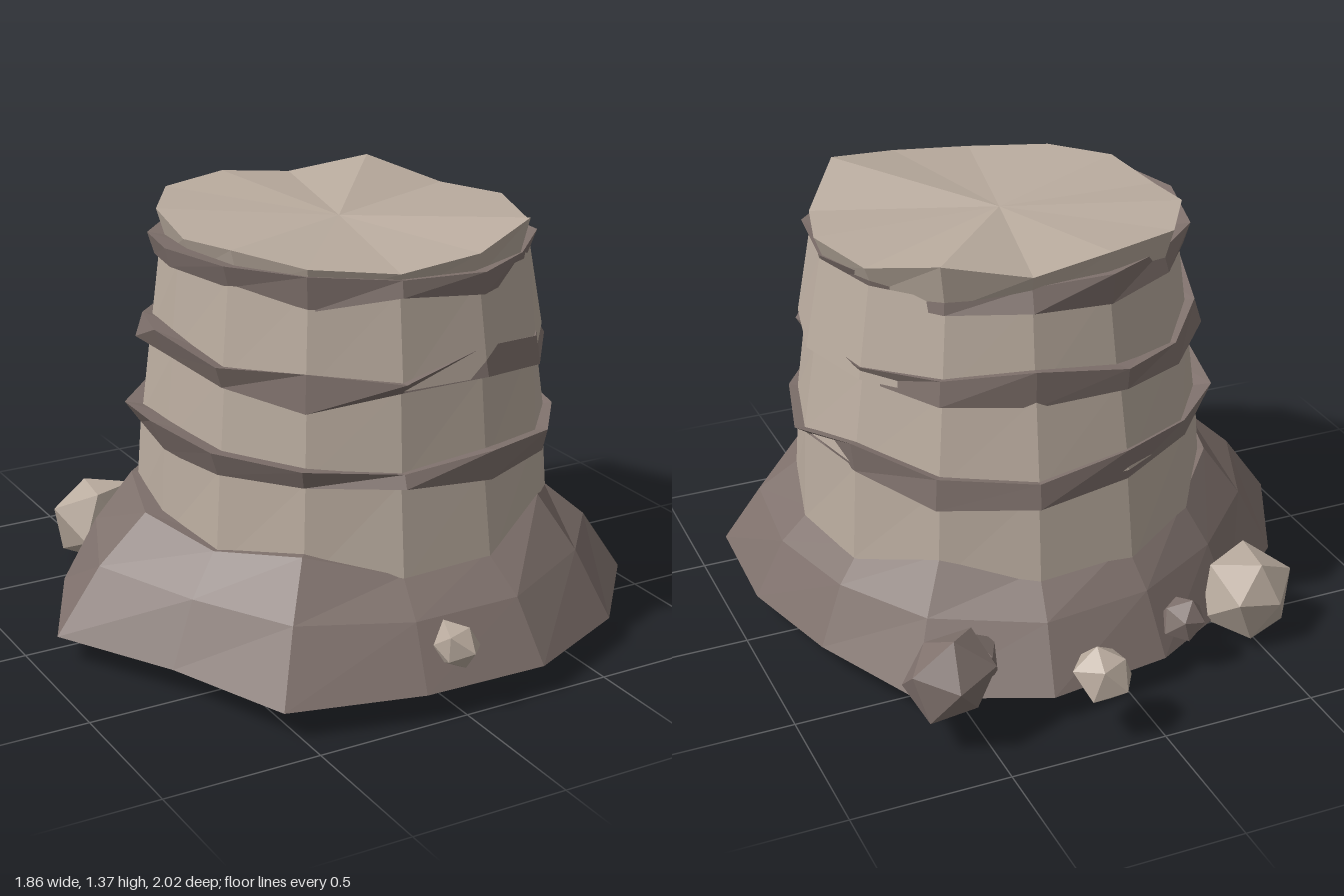
import * as THREE from 'three';

const SIDES = 14, CX = 0.07, CZ = 0.1;

// Small seeded jitter in the range -1..1
function makeJitter(seed) {
  let s = seed;
  return () => {
    s = (s * 16807) % 2147483647;
    return (s / 2147483647) * 2 - 1;
  };
}

const pick = (v, k) => (Array.isArray(v) ? v[k] : v);

// Radii blended between the +x, +z, -x and -z directions
function compass(...r) {
  return Array.from({ length: SIDES }, (_, k) => {
    const t = (k / SIDES) * 4, i = Math.floor(t);
    return r[i] + (r[(i + 1) % 4] - r[i]) * (t - i);
  });
}

// Ring of points around the butte axis; radius and height may vary per corner
function ring(radius, height) {
  return Array.from({ length: SIDES }, (_, k) => {
    const a = (k / SIDES) * Math.PI * 2, r = pick(radius, k);
    return [CX + r * Math.cos(a), pick(height, k), CZ + r * Math.sin(a)];
  });
}

// Skin a stack of rings from bottom to top, with an optional centre point on top
function loft(name, material, rings, peak) {
  const pos = [];
  const tri = (a, b, c) => pos.push(...a, ...b, ...c);
  for (let j = 0; j < rings.length - 1; j++) {
    for (let k = 0; k < SIDES; k++) {
      const n = (k + 1) % SIDES, lo = rings[j], hi = rings[j + 1];
      tri(lo[k], hi[k], lo[n]);
      tri(hi[k], hi[n], lo[n]);
    }
  }
  if (peak) {
    const top = rings[rings.length - 1];
    for (let k = 0; k < SIDES; k++) tri(top[k], peak, top[(k + 1) % SIDES]);
  }
  const geo = new THREE.BufferGeometry();
  geo.setAttribute('position', new THREE.Float32BufferAttribute(pos, 3));
  geo.computeVertexNormals();
  const mesh = new THREE.Mesh(geo, material);
  mesh.name = name;
  return mesh;
}

// Faceted boulder with uneven corners
function boulder(name, material, x, y, z, r, seed) {
  const geo = new THREE.IcosahedronGeometry(r, 0);
  const p = geo.attributes.position, v = new THREE.Vector3(), scales = {};
  const jitter = makeJitter(seed * 7919);
  for (let i = 0; i < p.count; i++) {
    v.fromBufferAttribute(p, i);
    const key = v.toArray().map((c) => Math.round(c * 1000)).join();
    scales[key] ??= 1 + 0.15 * jitter();
    v.multiplyScalar(scales[key]);
    p.setXYZ(i, v.x, v.y, v.z);
  }
  geo.computeVertexNormals();
  const mesh = new THREE.Mesh(geo, material);
  mesh.name = name;
  mesh.position.set(x, y, z);
  mesh.rotation.set(seed * 0.7, seed * 1.3, seed * 0.4);
  return mesh;
}

export function createModel() {
  const group = new THREE.Group();
  group.name = 'rockButte';

  const make = (name, color) => {
    const m = new THREE.MeshStandardMaterial({ color, flatShading: true, side: THREE.DoubleSide });
    m.name = name;
    return m;
  };
  const paleRock = make('pale rock', 0xbaac9f);
  const darkRock = make('dark rock', 0x80726d);

  // Sloping skirt, open underneath, with a lip running in under the walls
  const baseR = [0.86, 0.94, 0.925, 0.92, 0.91, 1.0, 0.87, 1.0, 0.9, 0.84, 0.87, 0.93, 0.95, 0.845];
  const topY = [0.37, 0.39, 0.47, 0.38, 0.365, 0.44, 0.4, 0.44, 0.46, 0.42, 0.4, 0.38, 0.43, 0.37];
  const collarR = baseR.map((r) => 0.67 + (r - 0.9) * 0.2);
  group.add(loft('skirt', darkRock, [
    ring(baseR, 0.085),
    ring(baseR.map((r, k) => collarR[k] + (r - collarR[k]) * 0.52), topY.map((y) => 0.16 + y * 0.3)),
    ring(collarR, topY),
    ring(collarR.map((r) => r - 0.1), topY.map((y) => y - 0.01)),
  ]));

  // Pale strata, each stepping in: bottom radii, top radii, bottom y, top y
  [
    [[0.685, 0.69, 0.635, 0.71], [0.67, 0.645, 0.62, 0.67], 0.34, 0.65],
    [[0.67, 0.655, 0.61, 0.68], [0.625, 0.63, 0.585, 0.625], 0.66, 0.94],
    [[0.65, 0.655, 0.59, 0.61], [0.595, 0.61, 0.56, 0.56], 0.94, 1.23],
  ].forEach(([r0, r1, y0, y1], i) => {
    group.add(loft('stratum' + (i + 1), paleRock, [
      ring(compass(...r0), y0),
      ring(compass(...r1), y1),
    ]));
  });

  // Jagged dark ledges: rim radii, then lower and upper edge heights
  const ledges = [
    [[0.67, 0.68, 0.635, 0.69],
      [0.63, 0.62, 0.62, 0.62, 0.65, 0.65, 0.64, 0.63, 0.63, 0.66, 0.63, 0.61, 0.6, 0.64],
      [0.67, 0.67, 0.69, 0.72, 0.69, 0.71, 0.72, 0.74, 0.7, 0.71, 0.73, 0.69, 0.7, 0.74]],
    [[0.635, 0.65, 0.615, 0.635],
      [0.92, 0.91, 0.9, 0.94, 0.93, 0.87, 0.91, 0.95, 0.92, 0.9, 0.93, 0.91, 0.92, 0.93],
      [0.99, 0.96, 0.99, 1.03, 0.97, 0.99, 0.98, 1.03, 1.0, 0.97, 1.0, 1.03, 1.0, 0.98]],
    [[0.595, 0.62, 0.575, 0.57],
      [1.18, 1.19, 1.17, 1.19, 1.22, 1.17, 1.21, 1.22, 1.19, 1.2, 1.18, 1.2, 1.19, 1.17],
      [1.24, 1.25, 1.25, 1.26, 1.27, 1.28, 1.28, 1.28, 1.26, 1.27, 1.28, 1.27, 1.29, 1.26]],
  ];
  ledges.forEach(([rim, lo, hi], i) => {
    const jitter = makeJitter(71 + i * 977);
    const radii = compass(...rim);
    const rough = (out) => radii.map((r) => r + out + 0.03 * jitter());
    group.add(loft('ledge' + (i + 1), darkRock, [
      ring(radii.map((r) => r - 0.1), lo.map((y) => y + 0.02)),
      ring(rough(0), lo),
      ring(rough(0.015), hi),
      ring(radii.map((r) => r - 0.1), hi.map((y) => y - 0.02)),
    ]));
  });

  // Uneven cap with a faceted top overhanging its sides
  const capR = [0.61, 0.6, 0.62, 0.61, 0.61, 0.6, 0.56, 0.54, 0.57, 0.6, 0.57, 0.58, 0.62, 0.6];
  const capY = [1.3, 1.28, 1.36, 1.31, 1.285, 1.3, 1.32, 1.3, 1.335, 1.34, 1.345, 1.31, 1.355, 1.29];
  group.add(loft('cap', paleRock, [
    ring(capR.map((r) => r - 0.04), 1.2),
    ring(capR, capY),
  ], [CX, 1.305, CZ]));

  // Scattered boulders
  [
    [paleRock, -0.49, 0.145, -0.595, 0.15],
    [darkRock, -0.21, 0.17, -0.69, 0.075],
    [paleRock, 0.165, 0.21, -0.91, 0.095],
    [darkRock, 0.59, 0.22, -0.755, 0.14],
    [darkRock, 0.49, 0.18, -0.66, 0.095],
    [paleRock, -0.01, 0.2, 0.94, 0.078],
  ].forEach(([mat, x, y, z, r], i) => {
    group.add(boulder('boulder' + (i + 1), mat, x, y, z, r, 3 + i * 5));
  });

  return group;
}
